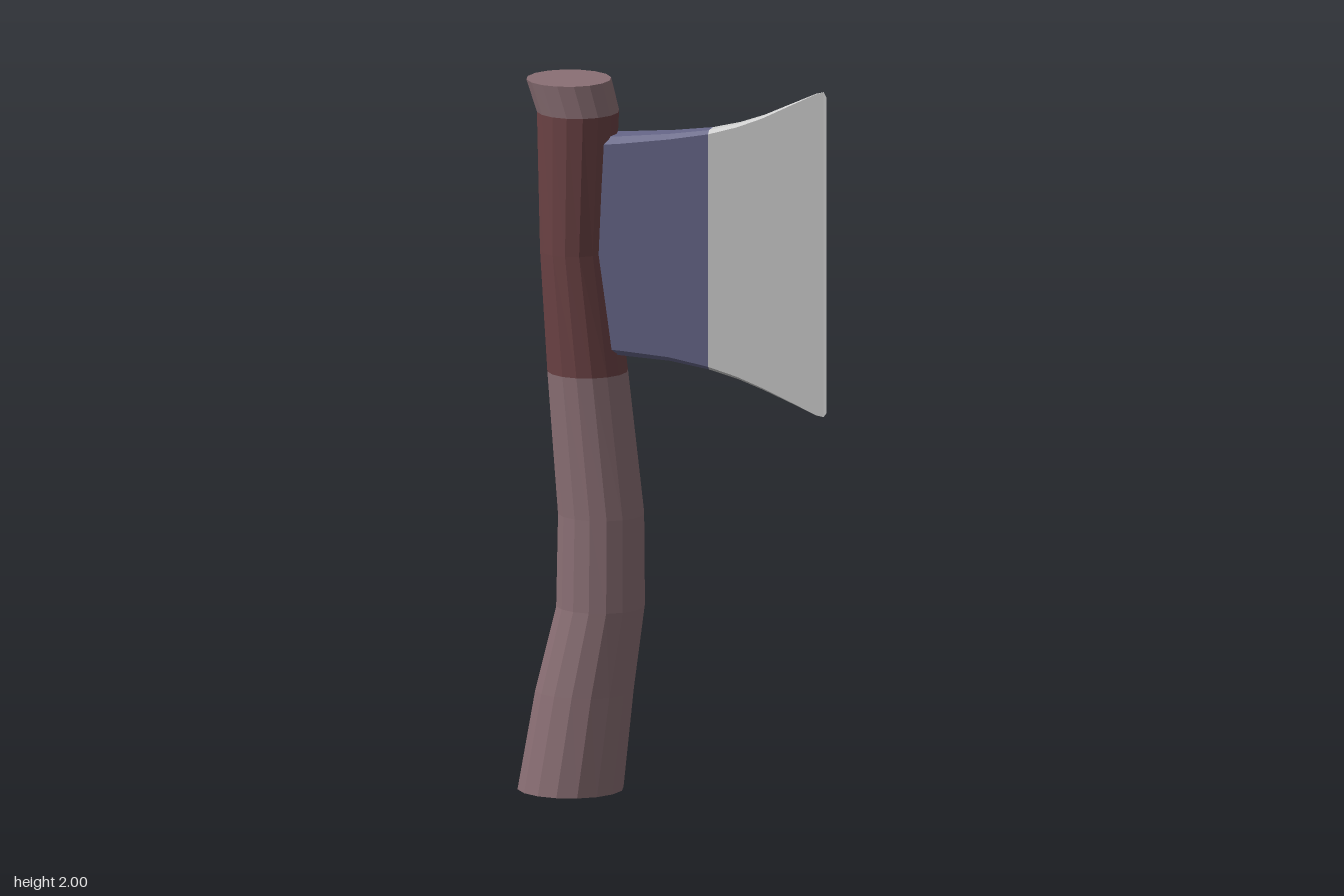
import * as THREE from 'three';

// Closed skin through equal-length rings of points, with a flat cap at each end.
function loft(rings, startCap = true, endCap = true) {
  const pos = [];
  const tri = (...pts) => pts.forEach((p) => pos.push(...p));
  const n = rings[0].length;
  const last = rings[rings.length - 1];
  for (let i = 0; i < rings.length - 1; i++) {
    for (let j = 0; j < n; j++) {
      const k = (j + 1) % n;
      const [a, b, c, d] = [rings[i][j], rings[i][k], rings[i + 1][k], rings[i + 1][j]];
      tri(a, d, c);
      tri(a, c, b);
    }
  }
  for (let j = 1; j < n - 1; j++) {
    if (startCap) tri(rings[0][0], rings[0][j], rings[0][j + 1]);
    if (endCap) tri(last[0], last[j + 1], last[j]);
  }
  const geo = new THREE.BufferGeometry();
  geo.setAttribute('position', new THREE.Float32BufferAttribute(pos, 3));
  geo.computeVertexNormals();
  return geo;
}

// Handle ring: height, left edge, right edge, depth radius.
function handleRing([y, x0, x1, rz]) {
  const cx = (x0 + x1) / 2;
  const rx = (x1 - x0) / 2;
  return Array.from({ length: 16 }, (_, i) => {
    const a = (i / 16) * Math.PI * 2;
    return [cx + rx * Math.cos(a), y, rz * Math.sin(a)];
  });
}

// Head section: wedge thickness from x, with chamfered upper and lower edges.
function headRing([x, lo, hi]) {
  const t = Math.max(0.001, (0.44 - x) * 0.1);
  const s = t * 0.65;
  const b = t * 0.3;
  return [
    [x, hi, s], [x, hi, -s], [x, hi - b, -t], [x, lo + b, -t],
    [x, lo, -s], [x, lo, s], [x, lo + b, t], [x, hi - b, t],
  ];
}

export function createModel() {
  const group = new THREE.Group();
  const add = (name, geometry, color) => {
    const material = new THREE.MeshStandardMaterial({ color, flatShading: true });
    const mesh = new THREE.Mesh(geometry, material);
    mesh.name = name;
    group.add(mesh);
  };

  // Curved wooden handle, wrapped below the flared top
  const handle = [
    [0, -0.44, -0.145, 0.149],
    [0.28, -0.39, -0.115, 0.136],
    [0.52, -0.33, -0.083, 0.124],
    [0.78, -0.325, -0.085, 0.119],
    [1.18, -0.355, -0.132, 0.118],
    [1.52, -0.375, -0.177, 0.118],
    [1.91, -0.385, -0.157, 0.118],
    [2, -0.415, -0.18, 0.121],
  ].map(handleRing);
  add('handle', loft(handle.slice(0, 5), true, false), 0x8a6f74);
  add('handleWrap', loft(handle.slice(4, 7), false, false), 0x6b4244);
  add('handleTop', loft(handle.slice(6), false, true), 0x8a6f74);

  // Head body, rooted inside the handle
  const body = [
    [-0.24, 1.237, 1.847],
    [-0.14, 1.235, 1.852],
    [0, 1.225, 1.865],
    [0.11, 1.205, 1.88],
  ].map(headRing);
  add('headBody', loft(body), 0x666688);

  // Flaring blade, ending in a thin upright edge
  const blade = [
    [0.11, 1.205, 1.88],
    [0.19, 1.182, 1.9],
    [0.26, 1.155, 1.925],
    [0.34, 1.12, 1.962],
    [0.41, 1.088, 1.994],
    [0.432, 1.084, 2],
    [0.44, 1.095, 1.985],
  ].map(headRing);
  add('blade', loft(blade), 0xcccccc);

  return group;
}
